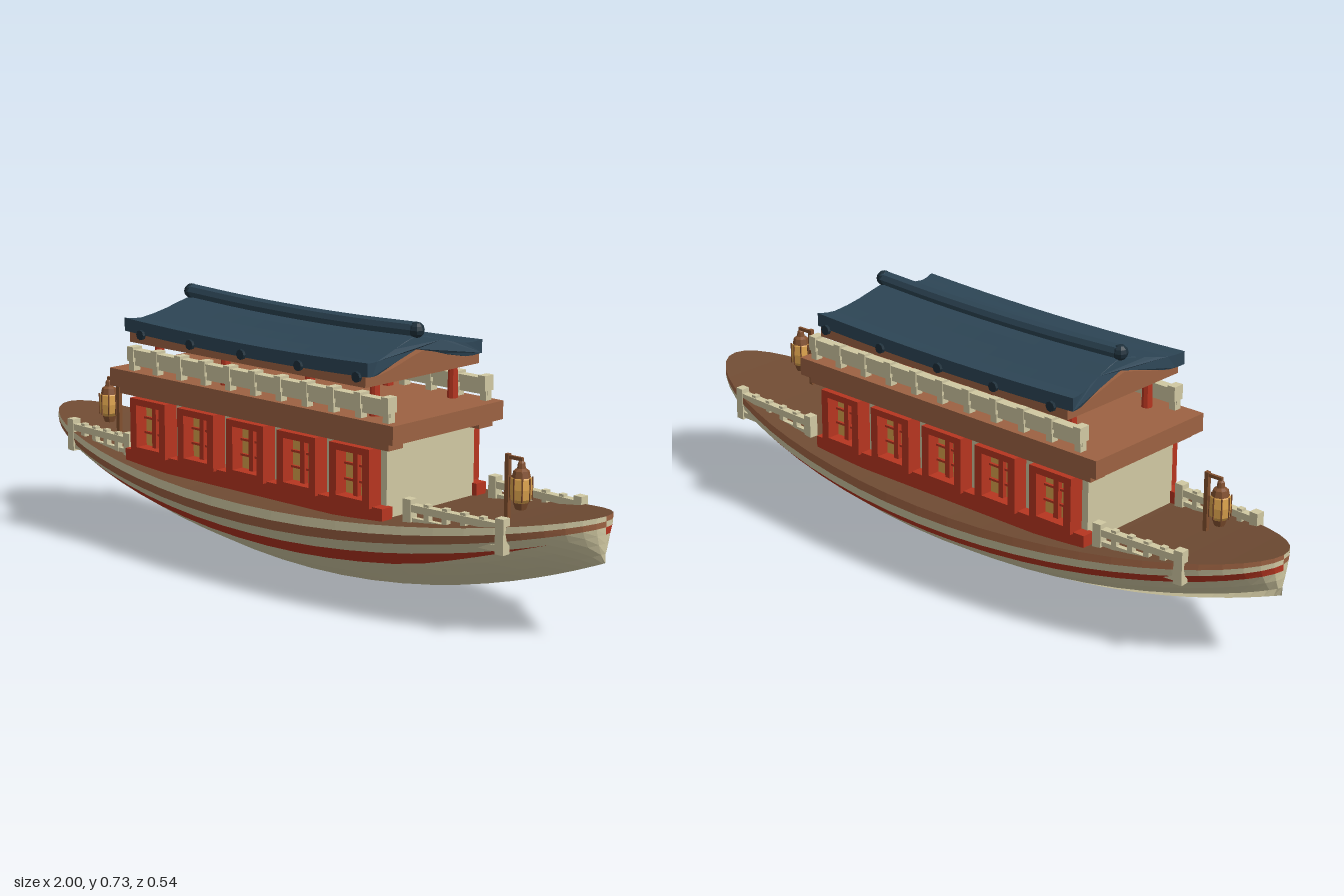
import * as THREE from 'three';

const mat = (name, color) => {
  const m = new THREE.MeshStandardMaterial({ color, flatShading: true, side: THREE.DoubleSide });
  m.name = name;
  return m;
};

export function createModel() {
  const boat = new THREE.Group();
  boat.name = 'pleasureBoat';
  const cream = mat('cream', 0xd0c8a2), red = mat('red', 0xb63520), wood = mat('wood', 0x9c6242),
    deckWood = mat('deckWood', 0x6f4b33), slate = mat('slate', 0x2d4555), gold = mat('gold', 0xdba24c),
    bronze = mat('bronze', 0x82502f), dark = mat('darkSlate', 0x1d2f3a);

  const add = (name, geo, m, x = 0, y = 0, z = 0, parent = boat) => {
    const mesh = new THREE.Mesh(geo, m);
    mesh.name = name;
    mesh.position.set(x, y, z);
    parent.add(mesh);
    return mesh;
  };
  // Box given by its limits
  const box = (name, m, x0, x1, y0, y1, z0, z1, parent = boat) =>
    add(name, new THREE.BoxGeometry(x1 - x0, y1 - y0, z1 - z0), m,
      (x0 + x1) / 2, (y0 + y1) / 2, (z0 + z1) / 2, parent);

  // ---- Hull: strips of planking between rows of one cross-section ----
  const N = 28;
  const stations = Array.from({ length: N + 1 }, (_, i) => -Math.cos(Math.PI * i / N));
  const width = x => 0.27 * Math.sqrt(Math.max(0, 1 - x * x));
  const rimY = x => 0.234 + 0.092 * x * x + 0.008 * x;
  const keelY = x => 0.003 + 0.208 * x * x + 0.004 * x;
  const profile = [[1, 1], [1.007, 0.89], [0.974, 0.766], [0.837, 0.61], [0.63, 0.42], [0.326, 0.2], [0, 0]];
  const hullPoint = (x, row, side) => {
    const k = Math.min(Math.floor(row), 5), t = row - k;
    const r = THREE.MathUtils.lerp(profile[k][0], profile[k + 1][0], t);
    const f = THREE.MathUtils.lerp(profile[k][1], profile[k + 1][1], t);
    return [x, keelY(x) + f * (rimY(x) - keelY(x)), side * r * width(x)];
  };
  const strip = (name, m, top, bottom, flip = false) => {
    const pos = [];
    for (let i = 0; i < N; i++) {
      const a = top(stations[i]), b = bottom(stations[i]);
      const c = bottom(stations[i + 1]), d = top(stations[i + 1]);
      pos.push(...(flip ? [a, c, b, a, d, c] : [a, b, c, a, c, d]).flat());
    }
    const g = new THREE.BufferGeometry();
    g.setAttribute('position', new THREE.Float32BufferAttribute(pos, 3));
    g.computeVertexNormals();
    add(name, g, m);
  };
  const plank = (m, r0, r1, side) => {
    const row = (r, x) => hullPoint(x, typeof r === 'function' ? r(x) : r, side);
    strip('hullPlank', m, x => row(r0, x), x => row(r1, x), side < 0);
  };
  // The red band on the front side tapers off towards both ends
  const taper = x => 4 - THREE.MathUtils.clamp((Math.abs(x) - 0.5) / 0.38, 0, 1);
  plank(cream, 0, 1, 1);
  plank(wood, 1, 2, 1);
  plank(cream, 2, 3, 1);
  plank(red, 3, taper, 1);
  plank(cream, taper, 4, 1);
  plank(cream, 4, 5, 1);
  plank(cream, 5, 6, 1);
  // The back side is shifted one row and stays open beside the keel
  [wood, cream, red, cream, cream].forEach((m, k) => plank(m, k, k + 1, -1));
  strip('deck', deckWood, x => hullPoint(x, 0, -1), x => hullPoint(x, 0, 1));

  // ---- Cabin ----
  box('cabinWalls', cream, -0.51, 0.43, 0.23, 0.465, -0.17, 0.17);
  box('terraceSlab', wood, -0.572, 0.49, 0.462, 0.512, -0.215, 0.215);

  // Window frame with a recessed pane and glazing bars
  const frameShape = new THREE.Shape();
  frameShape.moveTo(-0.07, 0).lineTo(0.07, 0).lineTo(0.07, 0.155).lineTo(-0.07, 0.155).closePath();
  const hole = new THREE.Path();
  hole.moveTo(-0.046, 0.018).lineTo(-0.046, 0.137).lineTo(0.046, 0.137).lineTo(0.046, 0.018).closePath();
  frameShape.holes.push(hole);
  const frameGeo = new THREE.ExtrudeGeometry(frameShape, { depth: 0.046, bevelEnabled: false });

  for (const s of [1, -1]) {
    const side = new THREE.Group();
    side.name = s > 0 ? 'frontSide' : 'backSide';
    side.rotation.y = s > 0 ? 0 : Math.PI;
    boat.add(side);
    const cx = -0.04 * s; // cabin centre within the turned group
    box('corniceBeam', wood, cx - 0.505, cx + 0.505, 0.442, 0.464, 0.148, 0.203, side);
    box('cabinSill', red, cx - 0.485, cx + 0.485, 0.243, 0.288, 0.165, 0.203, side);
    for (let i = -2; i <= 2; i++) {
      const win = new THREE.Group();
      win.name = 'window';
      win.position.set(cx + i * 0.19, 0.284, 0.169);
      side.add(win);
      add('windowFrame', frameGeo, red, 0, 0, 0, win);
      box('windowPane', gold, -0.046, 0.046, 0.018, 0.137, 0.002, 0.008, win);
      box('windowMullion', red, -0.008, 0.008, 0.018, 0.137, 0.006, 0.022, win);
      for (const y of [0.056, 0.098])
        box('windowBar', red, -0.046, 0.046, y - 0.003, y + 0.003, 0.006, 0.016, win);
    }
    // Terrace balustrade
    const bx = -0.023 * s;
    box('terraceRail', cream, bx - 0.487, bx + 0.487, 0.55, 0.572, 0.174, 0.202, side);
    box('terracePanel', cream, bx - 0.487, bx + 0.487, 0.527, 0.552, 0.181, 0.196, side);
    for (let i = 0; i <= 10; i++) {
      const x = bx - 0.475 + i * 0.095;
      box('terracePost', cream, x - 0.01, x + 0.01, 0.51, 0.54, 0.177, 0.2, side);
      box('terracePostCap', cream, x - 0.012, x + 0.012, 0.538, 0.579, 0.171, 0.205, side);
    }
  }

  // ---- Columns under the roof ----
  for (const x of [-0.435, -0.175, 0.14, 0.37])
    for (const z of [-0.151, 0.151])
      add('roofColumn', new THREE.CylinderGeometry(0.012, 0.015, 0.1, 8), red, x, 0.556, z);

  // ---- Roof: concave slopes, sagging slightly along its length ----
  const curve = [[0, 0.7], [0.045, 0.69], [0.09, 0.677], [0.13, 0.667], [0.17, 0.659], [0.195, 0.659], [0.222, 0.663]];
  const under = 0.036, roofX = -0.045;
  const mirrored = [...curve.slice(1).reverse().map(([z, y]) => [-z, y]), ...curve];
  const polygon = pts => new THREE.Shape(pts.map(([z, y]) => new THREE.Vector2(z, y)));
  const roofShape = polygon([...mirrored, ...mirrored.slice().reverse().map(([z, y]) => [z, y - under])]);
  const gableShape = polygon([...mirrored.map(([z, y]) => [z * 0.99, y - under]), [0.22, 0.598], [-0.22, 0.598]]);
  const extrudeX = (shape, halfLength, rule) => {
    const g = new THREE.ExtrudeGeometry(shape, { depth: 2 * halfLength, steps: 10, bevelEnabled: false });
    g.translate(0, 0, -halfLength);
    g.rotateY(-Math.PI / 2); // shape x becomes z, extrusion runs along x
    const p = g.attributes.position;
    for (let i = 0; i < p.count; i++) rule(p, i, p.getX(i) / halfLength);
    g.computeVertexNormals();
    return g;
  };
  add('roof', extrudeX(roofShape, 0.422, (p, i, u) => {
    const z = Math.abs(p.getZ(i)) / 0.222;
    p.setX(i, u * (0.422 + 0.032 * z * z));
    p.setY(i, p.getY(i) - 0.01 * (1 - u * u));
  }), slate, roofX);
  add('roofGable', extrudeX(gableShape, 0.44, (p, i, u) => {
    if (p.getY(i) > 0.6) p.setY(i, p.getY(i) - 0.01 * (1 - u * u));
    p.setX(i, u * 0.44);
  }), wood, roofX + 0.005);

  // Ridge roll
  const ridge = new THREE.CatmullRomCurve3([-1, -0.5, 0, 0.5, 1].map(u =>
    new THREE.Vector3(roofX + 0.42 * u, 0.705 + 0.01 * u * u, 0)));
  add('ridgeRoll', new THREE.TubeGeometry(ridge, 16, 0.02, 8), slate);
  for (const u of [-1, 1])
    add('ridgeEnd', new THREE.SphereGeometry(0.0215, 8, 6), dark, roofX + 0.42 * u, 0.714, 0);

  // Round tile ends along the eaves
  const tileGeo = new THREE.CylinderGeometry(0.014, 0.014, 0.014, 8).rotateX(Math.PI / 2);
  for (const x of [-0.43, -0.235, -0.04, 0.17, 0.375])
    for (const z of [-0.223, 0.223]) add('eaveTile', tileGeo, dark, x, 0.624, z);

  // ---- Deck railings at both ends ----
  const railing = (xIn, xOut, s) => {
    const g = new THREE.Group();
    g.name = 'deckRailing';
    const len = Math.abs(xOut - xIn), zIn = 0.168 * s, zOut = 0.154 * s;
    g.position.set(xIn, 0, zIn);
    g.rotation.y = Math.atan2(-(zOut - zIn), xOut - xIn);
    boat.add(g);
    box('railTop', cream, 0, len, 0.29, 0.309, -0.011, 0.011, g);
    box('railMiddle', cream, 0, len, 0.262, 0.274, -0.007, 0.007, g);
    box('railFoot', cream, 0, len, 0.236, 0.252, -0.009, 0.009, g);
    for (let i = 0; i <= 5; i++) {
      const x = 0.012 + (len - 0.024) * i / 5, end = i % 5 === 0;
      const w = end ? 0.013 : 0.008;
      box('railPost', cream, x - w, x + w, end ? 0.23 : 0.237, end ? 0.322 : 0.316, -w, w, g);
    }
  };
  for (const s of [1, -1]) {
    railing(0.495, 0.812, s);
    railing(-0.535, -0.812, s);
  }

  // ---- Hanging lanterns on posts ----
  const bodyProfile = [[0.014, -0.042], [0.026, -0.026], [0.029, 0], [0.026, 0.026], [0.014, 0.042]]
    .map(([r, y]) => new THREE.Vector2(r, y));
  const capProfile = [[0.024, 0.028], [0.02, 0.046], [0.011, 0.052], [0.009, 0.066], [0, 0.076]]
    .map(([r, y]) => new THREE.Vector2(r, y));
  const lantern = (x, y, dir) => {
    const g = new THREE.Group();
    g.name = 'lantern';
    g.position.set(x, y, 0.057);
    boat.add(g);
    add('lanternBody', new THREE.LatheGeometry(bodyProfile, 8), gold, 0, 0, 0, g);
    add('lanternCap', new THREE.LatheGeometry(capProfile, 8), bronze, 0, 0, 0, g);
    add('lanternBase', new THREE.CylinderGeometry(0.02, 0.014, 0.018, 8), bronze, 0, -0.044, 0, g);
    for (let i = 0; i < 8; i++) {
      const a = i * Math.PI / 4;
      box('lanternRib', bronze, -0.0015, 0.0015, -0.03, 0.03, -0.0015, 0.0015, g)
        .position.set(0.028 * Math.sin(a), 0, 0.028 * Math.cos(a));
    }
    const px = -0.043 * dir;
    box('lanternPost', bronze, px - 0.006, px + 0.006, 0.27 - y, 0.082, -0.006, 0.006, g);
    box('lanternArm', bronze, Math.min(px, 0) - 0.004, Math.max(px, 0) + 0.004, 0.07, 0.079, -0.004, 0.004, g);
  };
  lantern(0.777, 0.375, 1);
  lantern(-0.756, 0.357, -1);

  return boat;
}
